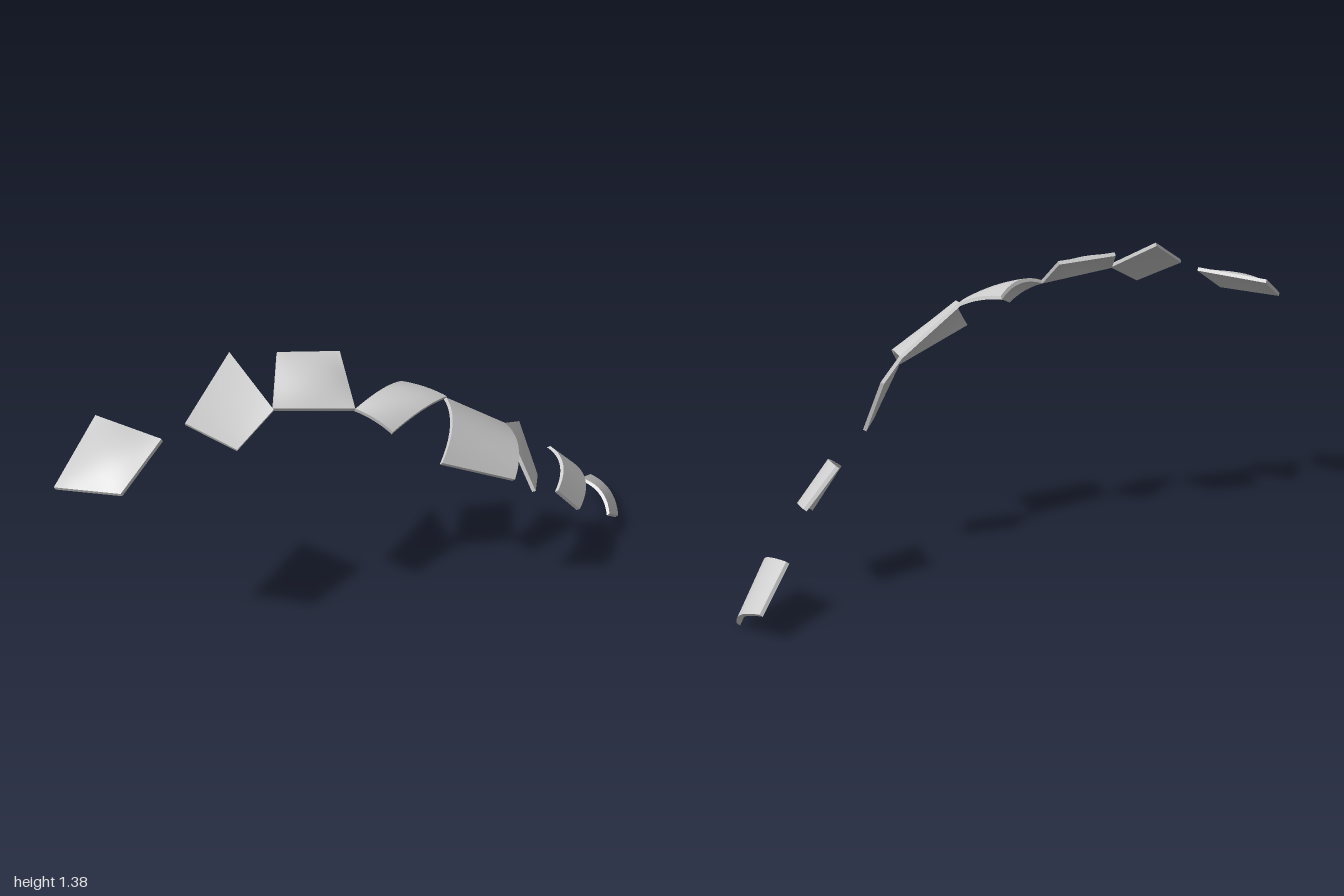
import * as THREE from 'three';

const material = new THREE.MeshStandardMaterial({ color: 0xcccccc, side: THREE.DoubleSide });
const THICKNESS = 0.016;

// Four corners a, b, c, d in order around each panel;
// arcU bends edges a-b and d-c, arcV bends a-d and b-c, dome swells the middle only.
const PANELS = [
  { name: 'domedPanelEnd', corners: [[-0.95, 1.19, 0.61], [-1, 1.06, 0.915], [-0.73, 1.085, 0.925], [-0.64, 1.205, 0.72]], dome: 0.03 },
  { name: 'flatPanelUpper', corners: [[-0.49, 1.385, 0.355], [-0.565, 1.25, 0.665], [-0.37, 1.16, 0.66], [-0.275, 1.25, 0.5]] },
  { name: 'domedPanelUpper', corners: [[-0.33, 1.355, 0.265], [-0.28, 1.25, 0.495], [0, 1.2, 0.348], [-0.11, 1.33, 0.16]], dome: 0.025 },
  { name: 'archedPanelMiddle', corners: [[0, 1.2, 0.348], [0.145, 1.11, 0.338], [0.305, 1.145, 0.095], [0.12, 1.185, 0.09]], arcU: 0.012, arcV: 0.035 },
  { name: 'archedPanelLarge', corners: [[0.305, 1.145, 0.105], [0.34, 0.995, 0.335], [0.605, 0.845, 0.17], [0.52, 0.945, -0.07]], arcU: 0.05 },
  { name: 'flatPanelLower', corners: [[0.52, 0.945, -0.07], [0.67, 0.65, -0.035], [0.66, 0.64, -0.165], [0.56, 0.87, -0.208]] },
  { name: 'archedPanelLower', corners: [[0.745, 0.51, -0.25], [0.84, 0.345, -0.36], [0.78, 0.435, -0.575], [0.675, 0.588, -0.465]], arcV: 0.045 },
  { name: 'archedPanelEnd', corners: [[0.965, 0.185, -0.57], [1, 0.012, -0.795], [0.84, 0.135, -0.928], [0.81, 0.263, -0.71]], arcV: 0.035 },
];

// Bends a thin box onto the four corners.
function panel({ name, corners, arcU = 0, arcV = 0, dome = 0 }) {
  const [a, b, c, d] = corners.map((p) => new THREE.Vector3(...p));
  const normal = c.clone().sub(a).cross(d.clone().sub(b)).normalize();
  const geometry = new THREE.BoxGeometry(1, 1, 1, 10, 1, 10);
  const pos = geometry.attributes.position;
  const p = new THREE.Vector3();
  const q = new THREE.Vector3();
  for (let i = 0; i < pos.count; i++) {
    const u = pos.getX(i) + 0.5;
    const v = 0.5 - pos.getZ(i);
    const humpU = 4 * u * (1 - u);
    const humpV = 4 * v * (1 - v);
    const lift = arcU * humpU + arcV * humpV + dome * humpU * humpV + (pos.getY(i) - 0.5) * THICKNESS;
    p.lerpVectors(a, b, u).lerp(q.lerpVectors(d, c, u), v).addScaledVector(normal, lift);
    pos.setXYZ(i, p.x, p.y, p.z);
  }
  geometry.computeVertexNormals();
  const mesh = new THREE.Mesh(geometry, material);
  mesh.name = name;
  return mesh;
}

export function createModel() {
  const group = new THREE.Group();
  group.name = 'curvedPanelChain';
  for (const spec of PANELS) group.add(panel(spec));
  return group;
}
